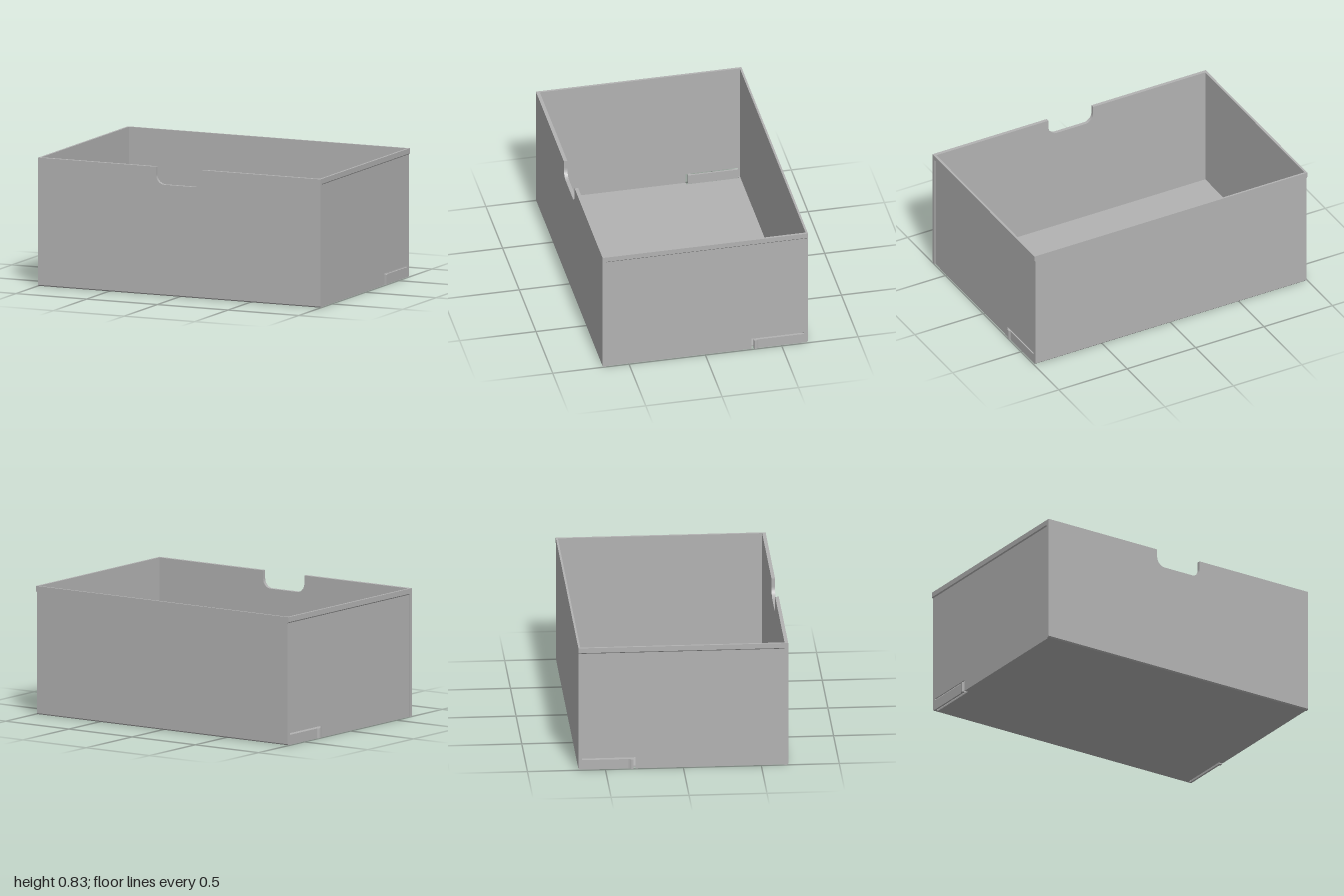
import * as THREE from 'three';

const H = 0.833, D = 0.673;      // height, half depth
const FRONT = 0.65, BACK = 0.66; // inner faces of front and back walls
const OUT = 0.991, IN = 0.983;   // outer and inner faces of side walls
const RIM = 0.998;               // half width of front wall and rims
const CH = 0.008;                // bottom chamfer

const poly = (pts) => new THREE.Shape(pts.map(([a, b]) => new THREE.Vector2(a, b)));
const extrude = (shape, depth) =>
  new THREE.ExtrudeGeometry(shape, { depth, bevelEnabled: false, curveSegments: 10 });
// outline in (-z, y), swept along x from x0 to x1
const alongX = (shape, x0, x1) => extrude(shape, x1 - x0).rotateY(Math.PI / 2).translate(x0, 0, 0);
// outline in (x, -z), swept upwards from y0 to y1
const alongY = (shape, y0, y1) => extrude(shape, y1 - y0).rotateX(-Math.PI / 2).translate(0, y0, 0);

export function createModel() {
  const model = new THREE.Group();
  model.name = 'drawerBox';
  const grey = new THREE.MeshStandardMaterial({ color: 0xb2b2b2 });
  grey.name = 'grey plastic';
  const add = (name, geometry) => {
    const mesh = new THREE.Mesh(geometry, grey);
    mesh.name = name;
    model.add(mesh);
  };

  // Front wall with a rounded finger notch
  const w = 0.163, n = 0.72, r = 0.06;
  const front = new THREE.Shape();
  front.moveTo(-RIM, CH);
  front.lineTo(RIM, CH);
  front.lineTo(RIM, H);
  front.lineTo(w, H);
  front.lineTo(w, n + r);
  front.absarc(w - r, n + r, r, 0, -Math.PI / 2, true);
  front.lineTo(-w + r, n);
  front.absarc(-w + r, n + r, r, -Math.PI / 2, -Math.PI, true);
  front.lineTo(-w, H);
  front.lineTo(-RIM, H);
  add('frontWall', extrude(front, D - FRONT).translate(0, 0, FRONT));
  add('frontBaseEdge', alongX(poly([[-D, CH], [-D + CH, 0], [-FRONT, 0], [-FRONT, CH]]), -RIM, RIM));

  // Back wall, also chamfered underneath
  add('backWall', alongX(poly([[BACK, 0], [D - CH, 0], [D, CH], [D, H], [BACK, H]]), -OUT, OUT));

  // Floor, cut away beside each spring tab
  const s0 = 0.305, s1 = 0.648, gap = 0.963;
  add('floor', alongY(poly([
    [-IN, -FRONT], [IN, -FRONT], [IN, s0], [gap, s0], [gap, s1], [IN, s1], [IN, BACK],
    [-IN, BACK], [-IN, s1], [-gap, s1], [-gap, s0], [-IN, s0],
  ]), 0, 0.01));

  // Side wall outline with the tab opening at the lower back
  const side = poly([
    [-FRONT, 0], [s0, 0], [s0, 0.076], [s1, 0.076], [s1, 0], [BACK, 0], [BACK, H], [-FRONT, H],
  ]);
  for (const s of [1, -1]) {
    const label = s > 0 ? 'left' : 'right';
    add(label + 'Wall', alongX(side, s > 0 ? IN : -OUT, s > 0 ? OUT : -IN));

    // Overhanging rim with a sloped underside
    const rim = poly([[OUT, 0.793], [RIM, 0.8], [RIM, H], [OUT, H]].map(([x, y]) => [s * x, y]));
    add(label + 'Rim', extrude(rim, D + FRONT).translate(0, 0, -D));

    // Spring tab, hinged at the back, with a small catch at its free end
    const tab = poly([
      [0.979, 0.32], [1, 0.32], [1, 0.33], [0.998, 0.337], [0.994, 0.343], [OUT, 0.35],
      [OUT, s1], [0.979, s1],
    ].map(([x, u]) => [s * x, u]));
    add(label + 'SpringTab', alongY(tab, 0, 0.065));
  }
  return model;
}
